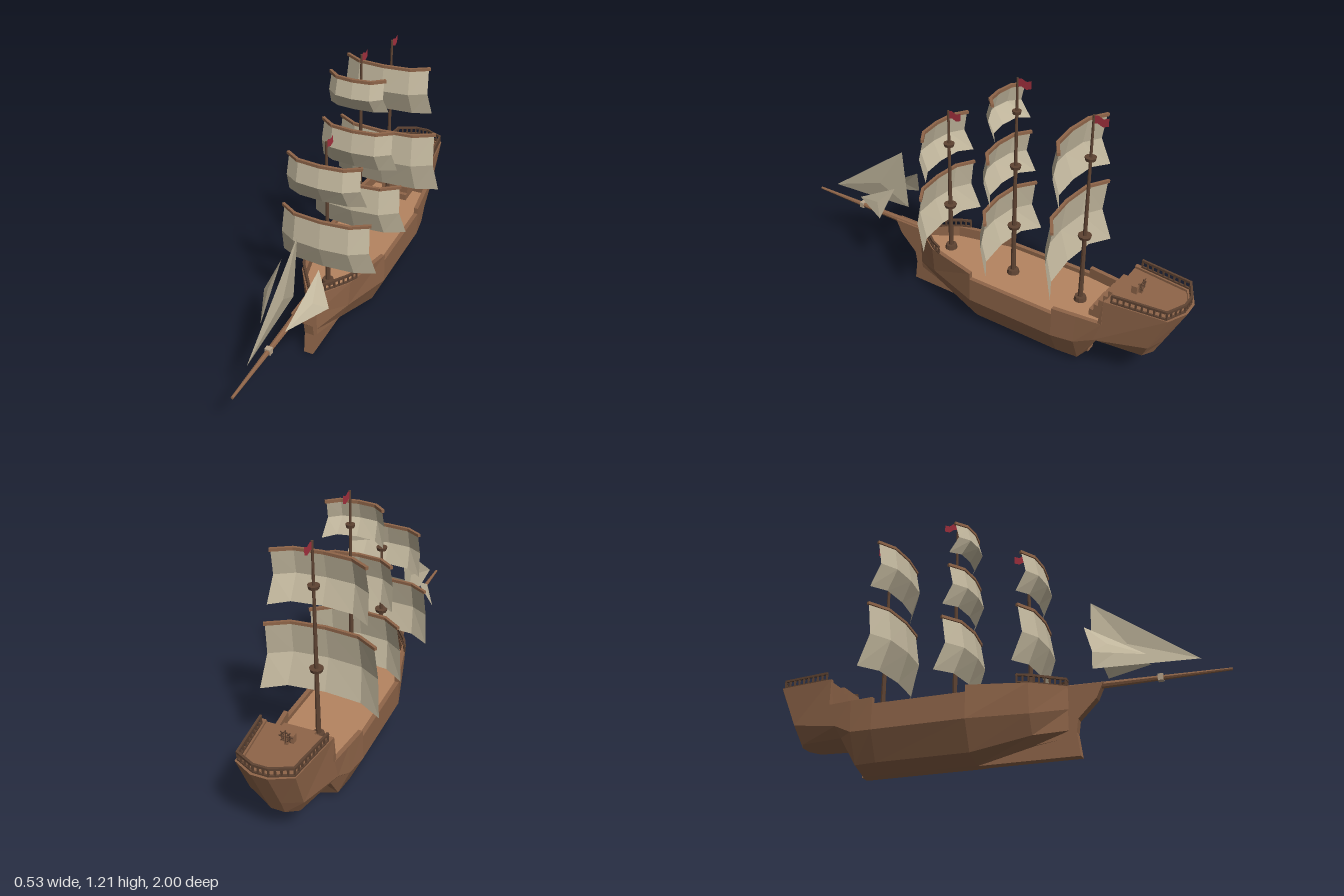
import * as THREE from 'three';

const mat = (color) => new THREE.MeshStandardMaterial({ color, flatShading: true, side: THREE.DoubleSide });

export function createModel() {
  const model = new THREE.Group();
  const wood = mat(0x8f6549), plank = mat(0xb58460), dark = mat(0x5e4332);
  const cloth = mat(0xc4b99f), red = mat(0xa83240), pale = mat(0xb9a58c);

  const add = (name, geometry, material, parent = model) => {
    const mesh = new THREE.Mesh(geometry, material);
    mesh.name = name;
    parent.add(mesh);
    return mesh;
  };
  const group = (name, parent = model) => {
    const g = new THREE.Group();
    g.name = name;
    parent.add(g);
    return g;
  };
  const V = (x, y, z) => new THREE.Vector3(x, y, z);

  // Square bar between two points
  const beam = (name, a, b, size, material, parent) => {
    const m = add(name, new THREE.BoxGeometry(size, size, a.distanceTo(b) + size * 0.5), material, parent);
    m.position.copy(a).lerp(b, 0.5);
    m.lookAt(b);
    return m;
  };

  // Surface through rows of points, optionally closed at both ends by joining mirrored points
  const loft = (rows, caps = false) => {
    const pos = [], n = rows[0].length;
    const tri = (...pts) => pts.forEach((p) => pos.push(p.x, p.y, p.z));
    const quad = (a, b, c, d) => { tri(a, b, c); tri(b, d, c); };
    for (let k = 0; k < rows.length - 1; k++)
      for (let i = 0; i < n - 1; i++)
        quad(rows[k][i], rows[k][i + 1], rows[k + 1][i], rows[k + 1][i + 1]);
    if (caps) {
      const A = rows[0], B = rows[rows.length - 1];
      for (let i = 0; i < n / 2 - 1; i++) {
        quad(A[i], A[n - 1 - i], A[i + 1], A[n - 2 - i]);
        quad(B[n - 1 - i], B[i], B[n - 2 - i], B[i + 1]);
      }
    }
    const g = new THREE.BufferGeometry();
    g.setAttribute('position', new THREE.Float32BufferAttribute(pos, 3));
    g.computeVertexNormals();
    return g;
  };

  // Hull stations: z, half width, rail y, deck y, wale half width, wale y, bilge half width, bilge y, bilge z
  const stations = [
    [0.345, 0.02, 0.3, 0.25, 0.02, 0.2, 0.02, 0.11, 0.345],
    [0.2, 0.118, 0.3, 0.25, 0.108, 0.17, 0.07, 0.09, 0.2],
    [-0.05, 0.178, 0.3, 0.25, 0.178, 0.155, 0.12, 0.03, -0.05],
    [-0.05, 0.178, 0.27, 0.25, 0.178, 0.155, 0.12, 0.03, -0.05],
    [-0.47, 0.18, 0.27, 0.25, 0.18, 0.155, 0.12, 0.03, -0.47],
    [-0.47, 0.18, 0.3, 0.25, 0.18, 0.155, 0.12, 0.03, -0.47],
    [-0.58, 0.168, 0.3, 0.25, 0.167, 0.16, 0.11, 0.03, -0.57],
    [-0.69, 0.155, 0.3, 0.25, 0.152, 0.2, 0.105, 0.16, -0.65],
    [-0.69, 0.155, 0.42, 0.41, 0.152, 0.2, 0.105, 0.16, -0.65],
    [-0.955, 0.125, 0.42, 0.41, 0.115, 0.24, 0.08, 0.16, -0.85],
    [-1.0, 0.035, 0.42, 0.41, 0.035, 0.24, 0.03, 0.16, -0.88],
  ];
  const sections = stations.map(([z, w, top, deck, ww, wy, bw, by, bz]) => {
    const inW = Math.max(w - 0.02, 0.006), inZ = z < -0.9 ? z + 0.018 : z;
    const wz = bz + ((z - bz) * (wy - by)) / (0.42 - by);
    const half = [V(inW, deck, inZ), V(inW, top, inZ), V(w, top, z), V(ww, wy, wz), V(bw, by, bz),
      V(Math.min(bw, 0.028), z > -0.6 ? by - 0.03 : by, bz)];
    return [...half, ...half.map((p) => V(-p.x, p.y, p.z)).reverse()];
  });
  add('hull', loft(sections, true), wood);
  const deckRows = sections.map((s) => [s[s.length - 1], s[0]]);
  add('mainDeck', loft(deckRows.slice(0, 8)), plank);
  add('poopDeck', loft(deckRows.slice(7)), wood);

  // Stem and keel as one plate
  const plate = new THREE.Shape([[0.49, 0.3], [0.46, 0.235], [0.38, 0.155], [0.372, 0.1], [0.385, 0], [-0.58, 0],
    [-0.58, 0.04], [0, 0.04], [0.28, 0.13], [0.32, 0.3]].map((p) => new THREE.Vector2(...p)));
  const keel = new THREE.ExtrudeGeometry(plate, { depth: 0.044, bevelEnabled: false });
  keel.translate(0, 0, -0.022).rotateY(-Math.PI / 2);
  add('stemAndKeel', keel, wood);

  // Bowsprit with its band
  const spritGeo = new THREE.CylinderGeometry(0.006, 0.018, 0.66, 8).rotateX(Math.PI / 2);
  add('bowsprit', spritGeo, wood).position.set(0, 0.294, 0.67);
  add('bowspritBand', new THREE.BoxGeometry(0.026, 0.028, 0.022), pale).position.set(0, 0.295, 0.72);

  // Railings: top and foot bars with evenly spaced balusters
  const railing = (name, pts, y0, y1) => {
    const g = group(name);
    for (let i = 0; i < pts.length - 1; i++) {
      const [a, b] = [pts[i], pts[i + 1]].map(([x, z]) => V(x, 0, z));
      const at = (t, y) => a.clone().lerp(b, t).setY(y);
      beam('railTop', at(0, y1 - 0.005), at(1, y1 - 0.005), 0.01, dark, g);
      beam('railFoot', at(0, y0 + 0.003), at(1, y0 + 0.003), 0.008, dark, g);
      const count = Math.max(2, Math.round(a.distanceTo(b) / 0.024));
      for (let j = 0; j <= count; j++)
        beam('baluster', at(j / count, y0), at(j / count, y1 - 0.005), 0.007, dark, g);
    }
  };
  railing('sternRailing', [[0.143, -0.72], [0.117, -0.945], [0.032, -0.985], [-0.032, -0.985],
    [-0.117, -0.945], [-0.143, -0.72]], 0.42, 0.46);
  railing('bowRailing', [[0.128, 0.155], [0.108, 0.2], [0.015, 0.332], [-0.015, 0.332],
    [-0.108, 0.2], [-0.128, 0.155]], 0.3, 0.34);

  // Stairs up to the poop
  const stairs = group('stairs');
  for (let i = 0; i < 5; i++) {
    const top = 0.282 + i * 0.032, z = -0.59 - i * 0.02;
    add('step', new THREE.BoxGeometry(0.14, top - 0.25, 0.69 + z), wood, stairs)
      .position.set(0, (top + 0.25) / 2, (z - 0.69) / 2);
  }

  // Helm
  const helm = group('helm');
  add('helmStand', new THREE.BoxGeometry(0.05, 0.035, 0.025), wood, helm).position.set(0, 0.427, -0.762);
  add('helmPost', new THREE.BoxGeometry(0.014, 0.045, 0.02), wood, helm).position.set(0, 0.432, -0.78);
  add('helmWheel', new THREE.TorusGeometry(0.02, 0.003, 5, 10), dark, helm).position.set(0, 0.447, -0.788);
  for (let i = 0; i < 4; i++) {
    const spoke = add('spoke', new THREE.BoxGeometry(0.06, 0.004, 0.004), dark, helm);
    spoke.position.set(0, 0.447, -0.788);
    spoke.rotation.z = (i * Math.PI) / 4;
  }

  // Square sail, bowed forward at the middle, hanging from a bent yard
  const squareSail = (parent, z, [top, bottom, wTop, wBottom, sweep]) => {
    const bend = [[-1, 1], [-0.62, 0.2], [0, 0], [0.62, 0.2], [1, 1]];
    const row = (y, w, dz, lift) => bend.map(([u, s]) => V(u * w, y + (1 - s) * lift, z + dz - s * sweep));
    const mid = wTop + (wBottom - wTop) * 0.3;
    add('sail', loft([row(top, wTop, 0, 0), row((top + bottom) / 2, mid, 0.02, 0),
      row(bottom, wBottom, -0.022, 0.01)]), cloth, parent);
    const yard = row(top, wTop + 0.004, 0, 0);
    for (let i = 0; i < 4; i++) beam('yard', yard[i], yard[i + 1], 0.013, wood, parent);
  };

  // Masts with collars, sails and a flag; a sail is [top, bottom, half width top, bottom, sweep]
  const masts = [
    { name: 'foreMast', z: 0.178, top: 0.965, sailZ: 0.245, rings: [0.485, 0.8],
      sails: [[0.615, 0.36, 0.2, 0.225, 0.058], [0.885, 0.695, 0.162, 0.18, 0.05]] },
    { name: 'mainMast', z: -0.167, top: 1.205, sailZ: -0.08, rings: [0.5, 0.8, 1.055],
      sails: [[0.615, 0.365, 0.2, 0.23, 0.07], [0.885, 0.69, 0.162, 0.18, 0.058], [1.123, 0.97, 0.12, 0.135, 0.05]] },
    { name: 'mizzenMast', z: -0.511, top: 1.14, sailZ: -0.418, rings: [0.58, 0.95],
      sails: [[0.72, 0.415, 0.235, 0.265, 0.068], [1.05, 0.82, 0.195, 0.213, 0.058]] },
  ];
  const flagGeo = loft([[0, 0], [0.018, 0.006], [0.042, -0.004], [0.065, 0.006]]
    .map(([d, y]) => [V(0, y, -d), V(0, y - 0.034, -d)]));
  for (const { name, z, top, sailZ, rings, sails } of masts) {
    const g = group(name);
    add('pole', new THREE.CylinderGeometry(0.005, 0.012, top - 0.24, 8), dark, g).position.set(0, (top + 0.24) / 2, z);
    add('mastFoot', new THREE.CylinderGeometry(0.025, 0.029, 0.02, 10), dark, g).position.set(0, 0.26, z);
    rings.forEach((y, i) => {
      const r = 0.03 - i * 0.005;
      add('collar', new THREE.CylinderGeometry(r, r * 0.85, 0.015, 10), dark, g).position.set(0, y, z);
    });
    sails.forEach((s) => squareSail(g, sailZ, s));
    add('flag', flagGeo, red, g).position.set(0, top - 0.004, z);
  }

  // Triangular headsails: one on the centreline, a mirrored pair beside it
  const headsail = (name, a, b, c, belly) => {
    const m = a.clone().add(b).add(c).divideScalar(3).add(belly);
    const g = new THREE.BufferGeometry().setFromPoints([a, b, m, b, c, m, c, a, m]);
    g.computeVertexNormals();
    add(name, g, cloth);
  };
  headsail('centreHeadsail', V(0, 0.675, 0.45), V(-0.028, 0.36, 0.45), V(0, 0.355, 0.885), V(0.014, 0, 0));
  for (const s of [1, -1])
    headsail(s > 0 ? 'leftHeadsail' : 'rightHeadsail', V(0.085 * s, 0.525, 0.435), V(0.15 * s, 0.38, 0.48),
      V(0.055 * s, 0.38, 0.68), V(0.006 * s, 0, 0));

  return model;
}
